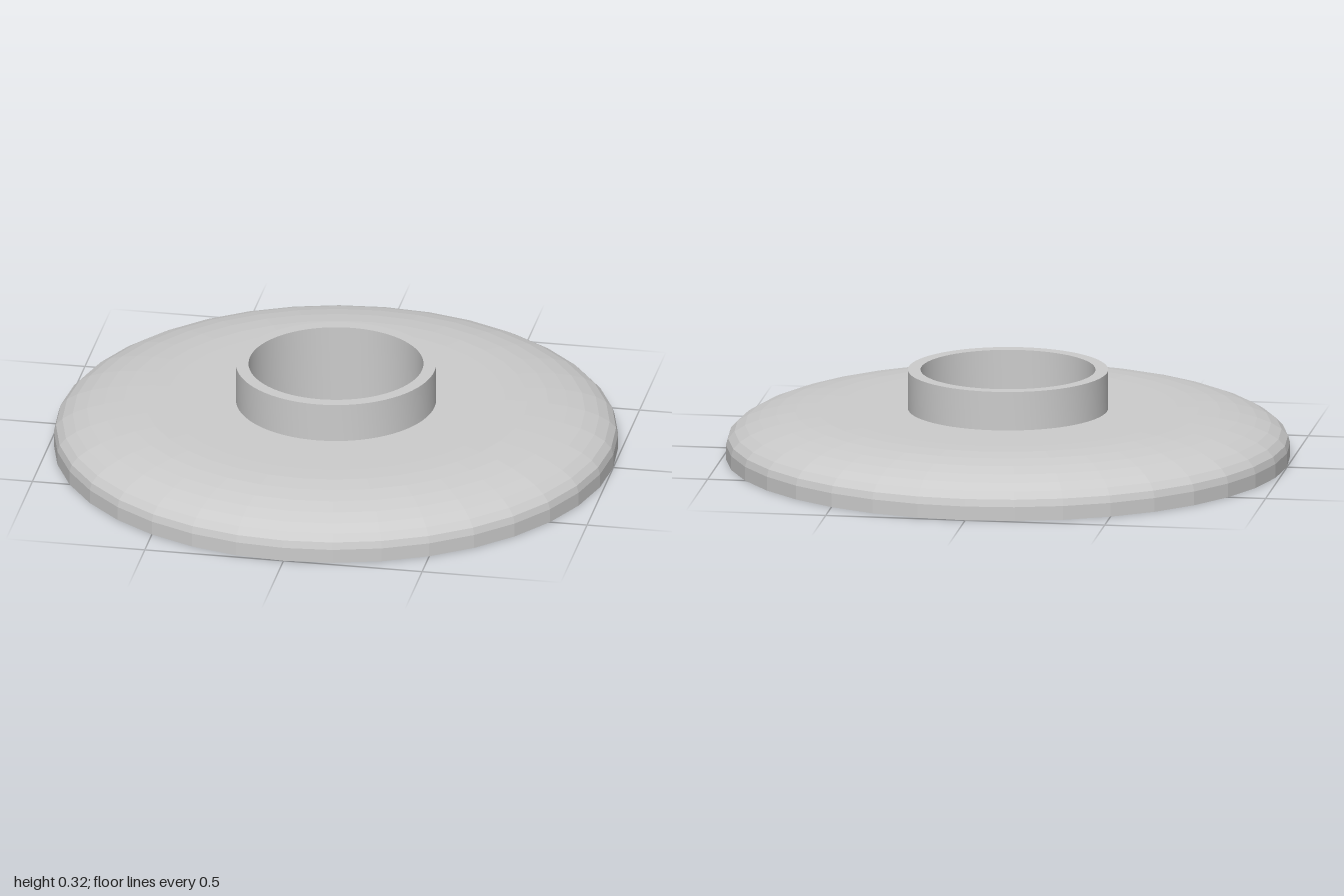
import * as THREE from 'three';
import { toCreasedNormals } from 'three/addons/utils/BufferGeometryUtils.js';

const DISC_SIDES = 36, COLLAR_SIDES = 72;
const BORE = 0.31, COLLAR = 0.355;

// Regular polygon outline, corners on the axes
function ring(radius, sides) {
  return Array.from({ length: sides }, (_, i) => {
    const a = (i / sides) * Math.PI * 2;
    return new THREE.Vector2(radius * Math.cos(a), radius * Math.sin(a));
  });
}

export function createModel() {
  const group = new THREE.Group();
  const smooth = new THREE.MeshStandardMaterial({ color: 0xcccccc });
  const flat = new THREE.MeshStandardMaterial({ color: 0xcccccc, flatShading: true });
  const add = (name, geometry, material) => {
    const mesh = new THREE.Mesh(geometry, material);
    mesh.name = name;
    group.add(mesh);
    return mesh;
  };

  // Domed disc: short upright rim, quarter-ellipse shoulder, flat top
  const profile = [new THREE.Vector2(1, 0)];
  const steps = 8;
  for (let i = 0; i <= steps; i++) {
    const a = (i / steps) * Math.PI / 2;
    profile.push(new THREE.Vector2(0.6 + 0.4 * Math.cos(a), 0.05 + 0.13 * Math.sin(a)));
  }
  profile.push(new THREE.Vector2(COLLAR - 0.015, 0.18));
  add('domedDisc', new THREE.LatheGeometry(profile, DISC_SIDES), flat);

  // Flat underside with the bore cut through it
  const underside = new THREE.Shape(ring(1, DISC_SIDES));
  underside.holes.push(new THREE.Path(ring(BORE, COLLAR_SIDES)));
  add('underside', new THREE.ShapeGeometry(underside).rotateX(Math.PI / 2), smooth);

  // Raised collar, its rim and the bore wall down to the underside
  const collar = [[COLLAR, 0.17], [COLLAR, 0.32], [BORE, 0.32], [BORE, 0]]
    .map(([r, y]) => new THREE.Vector2(r, y));
  add('collarAndBore',
    toCreasedNormals(new THREE.LatheGeometry(collar, COLLAR_SIDES), Math.PI / 6), smooth);

  return group;
}
